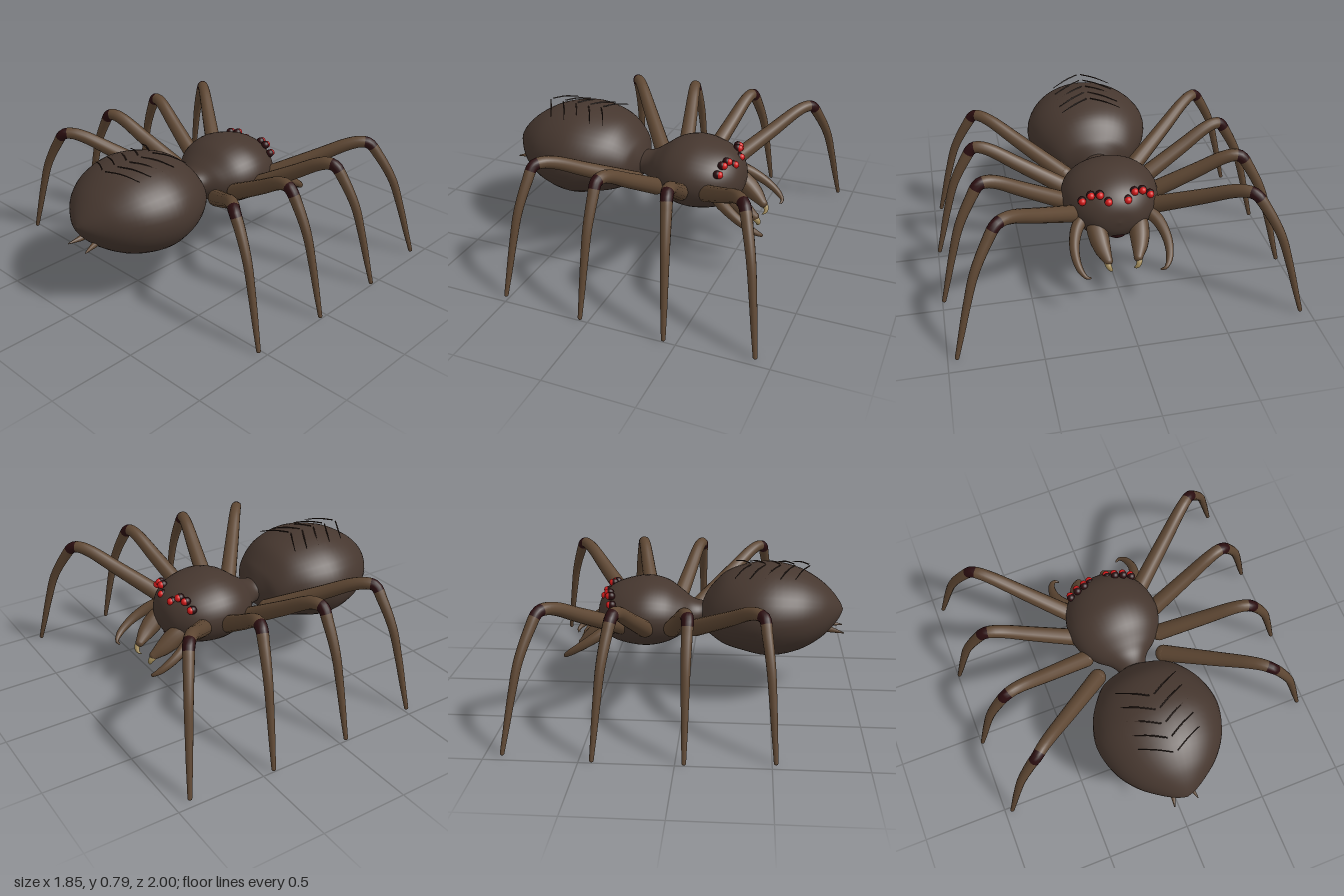
import * as THREE from 'three';

const mat = (name, color) => new THREE.MeshStandardMaterial({ name, color });
const V = (x, y, z) => new THREE.Vector3(x, y, z);

// Smooth body along x from sections [x, centre y, half height, half width]
function loft(sections, rings = 48, segs = 40) {
  const size = new THREE.CatmullRomCurve3(sections.map(s => V(s[0], s[2], s[3])), false, 'centripetal');
  const mid = new THREE.CatmullRomCurve3(sections.map(s => V(s[0], s[1], 0)), false, 'centripetal');
  const pos = [], idx = [];
  for (let i = 0; i <= rings; i++) {
    const s = size.getPoint(i / rings), m = mid.getPoint(i / rings);
    for (let j = 0; j < segs; j++) {
      const a = j / segs * Math.PI * 2;
      pos.push(s.x, m.y + Math.max(s.y, 0) * Math.cos(a), Math.max(s.z, 0) * Math.sin(a));
      if (i === rings) continue;
      const p = i * segs + j, q = i * segs + (j + 1) % segs;
      idx.push(p, q, p + segs, q, q + segs, p + segs);
    }
  }
  const g = new THREE.BufferGeometry();
  g.setAttribute('position', new THREE.Float32BufferAttribute(pos, 3));
  g.setIndex(idx);
  g.computeVertexNormals();
  return g;
}

// Tube whose radius follows evenly spaced values along its length
function taper(points, radii, n = 24, radial = 14) {
  const curve = new THREE.CatmullRomCurve3(points, false, 'centripetal');
  const g = new THREE.TubeGeometry(curve, n, 1, radial, false);
  const p = g.attributes.position, v = V(0, 0, 0);
  for (let i = 0; i <= n; i++) {
    const c = curve.getPointAt(i / n), t = i / n * (radii.length - 1);
    const k = Math.min(Math.floor(t), radii.length - 2);
    const r = THREE.MathUtils.lerp(radii[k], radii[k + 1], t - k);
    for (let j = 0; j <= radial; j++) {
      const id = i * (radial + 1) + j;
      v.fromBufferAttribute(p, id).sub(c).multiplyScalar(r).add(c);
      p.setXYZ(id, v.x, v.y, v.z);
    }
  }
  g.userData.curve = curve;
  return g;
}

export function createModel() {
  const model = new THREE.Group();
  model.name = 'spider';
  const body = mat('bodyBrown', 0x46372f), leg = mat('legBrown', 0x5e4733);
  const joint = mat('darkMaroon', 0x2a0d0f), eye = mat('eyeRed', 0xd01818);
  const fang = mat('fangTan', 0xa08a58), hair = mat('hairBrown', 0x2c1e18);

  const add = (parent, name, geo, material, at) => {
    const m = new THREE.Mesh(geo, material);
    m.name = name;
    if (at) m.position.copy(at);
    parent.add(m);
    return m;
  };
  const ball = r => new THREE.SphereGeometry(r, 18, 12);

  // Body
  add(model, 'abdomen', loft([
    [-0.918, 0.52, 0, 0], [-0.9, 0.52, 0.04, 0.055], [-0.85, 0.52, 0.105, 0.14],
    [-0.77, 0.52, 0.173, 0.24], [-0.65, 0.52, 0.235, 0.325], [-0.48, 0.52, 0.267, 0.37],
    [-0.33, 0.522, 0.242, 0.34], [-0.22, 0.515, 0.205, 0.277], [-0.14, 0.5, 0.137, 0.205],
    [-0.11, 0.49, 0.105, 0.13], [-0.09, 0.48, 0.07, 0.08], [-0.06, 0.48, 0, 0]]), body);
  add(model, 'headAndThorax', loft([
    [-0.14, 0.48, 0.07, 0.088], [-0.08, 0.48, 0.072, 0.086], [-0.03, 0.48, 0.085, 0.115],
    [0.03, 0.48, 0.125, 0.185], [0.12, 0.488, 0.178, 0.25], [0.23, 0.49, 0.202, 0.277],
    [0.34, 0.487, 0.19, 0.262], [0.43, 0.482, 0.162, 0.218], [0.49, 0.478, 0.118, 0.155],
    [0.52, 0.475, 0.07, 0.095], [0.532, 0.475, 0, 0]]), body);
  add(model, 'mouth', ball(1), joint, V(0.465, 0.37, 0)).scale.set(0.04, 0.03, 0.055);

  // Hair chevrons on the back
  for (let i = 0; i < 5; i++) for (const s of [1, -1]) {
    const x = -0.71 + i * 0.085;
    add(model, 'backHair', taper([V(x, 0.785, 0.012 * s), V(x + 0.045, 0.778, 0.09 * s),
      V(x + 0.09, 0.75, 0.18 * s)], [0.004, 0.004, 0.002], 8, 6), hair);
  }

  // Leg rows: base x, base z, knee x, knee z, tip x, tip z
  const legs = [
    [-0.06, 0.21, -0.445, 0.7, -0.52, 0.955], [0.075, 0.235, -0.05, 0.74, -0.048, 0.99],
    [0.23, 0.25, 0.345, 0.74, 0.43, 0.99], [0.37, 0.21, 0.74, 0.69, 0.908, 0.95]];
  // Profiles: fraction of the way, height
  const thigh = [[0, 0.46], [0.5, 0.605], [0.8, 0.693], [0.92, 0.711]];
  const shin = [[0, 0.703], [0.2, 0.63], [0.5, 0.48], [0.7, 0.31], [0.88, 0.13], [1, 0.012]];

  for (const s of [1, -1]) {
    const side = new THREE.Group();
    side.name = s > 0 ? 'leftSide' : 'rightSide';
    model.add(side);
    const P = (x, y, z) => V(x, y, z * s);
    const L = THREE.MathUtils.lerp;

    legs.forEach(([bx, bz, kx, kz, tx, tz]) => {
      const pts = [
        ...thigh.map(([f, y]) => P(L(bx, kx, f), y, L(bz, kz, f))),
        ...shin.map(([f, y]) => P(L(kx, tx, f), y, L(kz, tz, f)))];
      const n = 70, radial = 14;
      const g = taper(pts, [0.05, 0.046, 0.042, 0.037, 0.031, 0.026, 0.022, 0.018, 0.012], n, radial);
      // Dark band round the knee
      const knee = P(kx, 0.703, kz);
      let k = 0, best = 9;
      for (let i = 0; i <= n; i++) {
        const d = g.userData.curve.getPointAt(i / n).distanceTo(knee);
        if (d < best) { best = d; k = i; }
      }
      const step = radial * 6;
      g.addGroup(0, (k - 1) * step, 0);
      g.addGroup((k - 1) * step, 3 * step, 1);
      g.addGroup((k + 2) * step, (n - k - 2) * step, 0);
      add(side, 'leg', g, [leg, joint]);
      add(side, 'hip', ball(0.05), leg, P(bx, 0.46, bz));
      add(side, 'foot', ball(0.012), leg, P(tx, 0.012, tz));
    });

    // Eyes with dark sockets
    for (const [x, y, z] of [[0.44, 0.58, 0.192], [0.45, 0.617, 0.145],
      [0.463, 0.623, 0.097], [0.488, 0.59, 0.054]]) {
      add(side, 'eyeSocket', ball(0.024), joint, P(x - 0.013, y, z));
      add(side, 'eye', ball(0.021), eye, P(x, y, z));
    }

    // Jaws and fangs
    add(side, 'jaw', taper([P(0.43, 0.44, 0.125), P(0.5, 0.4, 0.118), P(0.57, 0.345, 0.105),
      P(0.625, 0.3, 0.085)], [0.045, 0.057, 0.056, 0.045, 0.026]), leg);
    add(side, 'jawTip', ball(0.026), leg, P(0.625, 0.3, 0.085));
    add(side, 'fang', taper([P(0.615, 0.305, 0.09), P(0.645, 0.275, 0.085),
      P(0.645, 0.25, 0.072), P(0.628, 0.236, 0.06)], [0.022, 0.018, 0.012, 0.001], 14), fang);

    // Feelers
    add(side, 'feeler', taper([P(0.4, 0.46, 0.18), P(0.48, 0.42, 0.235), P(0.58, 0.36, 0.262),
      P(0.67, 0.3, 0.25), P(0.707, 0.268, 0.22), P(0.7, 0.255, 0.195)],
    [0.04, 0.036, 0.03, 0.025, 0.019, 0.005], 32), leg);

    // Spinnerets
    add(side, 'spinneret', taper([P(-0.78, 0.42, 0.045), P(-0.85, 0.408, 0.055),
      P(-0.925, 0.396, 0.072)], [0.02, 0.016, 0.003], 10), leg);
  }
  return model;
}
